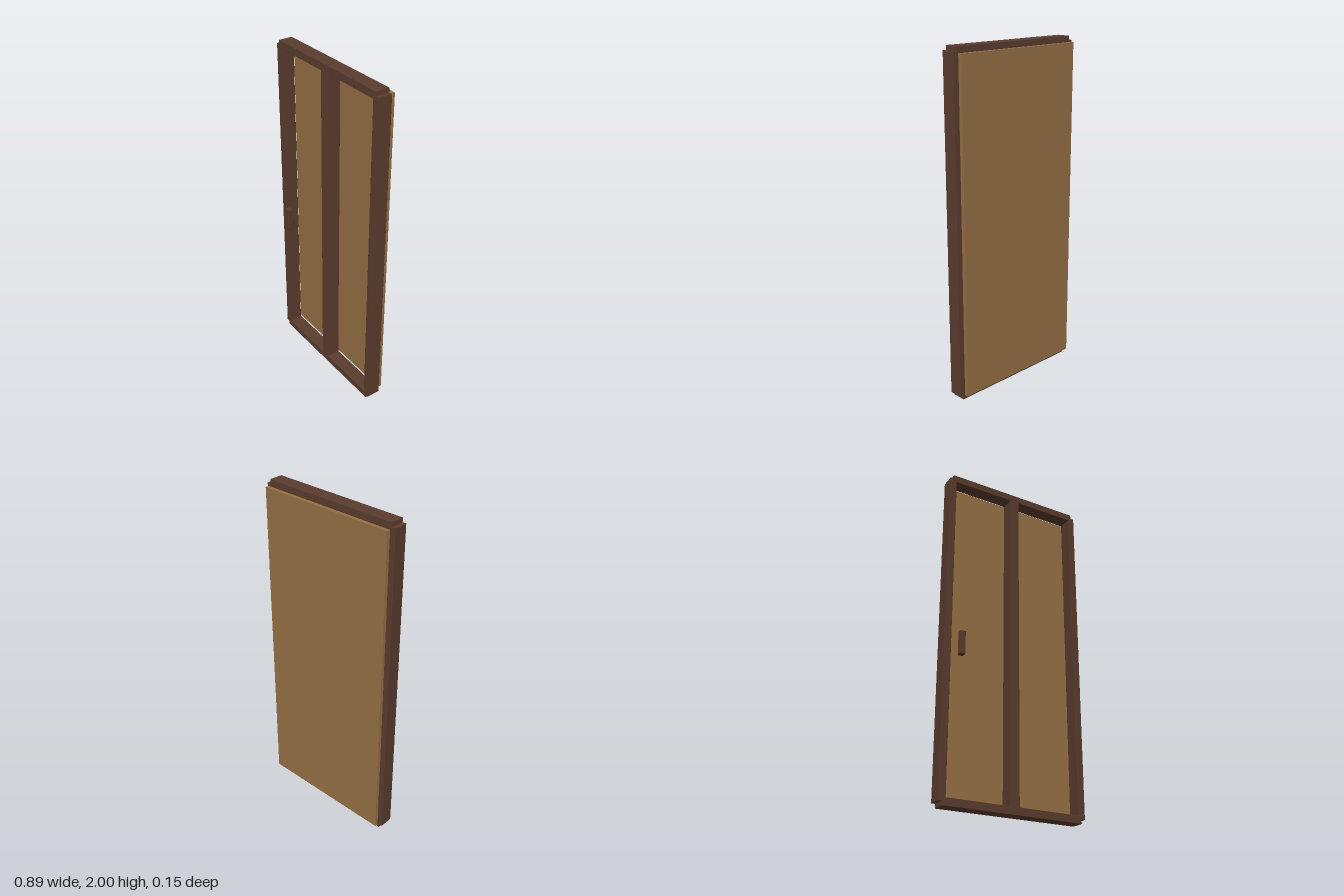
import * as THREE from 'three';
import { RoundedBoxGeometry } from 'three/addons/geometries/RoundedBoxGeometry.js';

export function createModel() {
  const door = new THREE.Group();
  door.name = 'slidingDoor';

  const darkWood = new THREE.MeshStandardMaterial({ color: 0x5a3c2e });
  darkWood.name = 'darkWood';
  const tanPanel = new THREE.MeshStandardMaterial({ color: 0x967044 });
  tanPanel.name = 'tanPanel';

  // Slightly softened bar given by its minimum and maximum corners
  function bar(name, material, [x0, y0, z0], [x1, y1, z1], radius = 0.002) {
    const geometry = new RoundedBoxGeometry(x1 - x0, y1 - y0, z1 - z0, 1, radius);
    const mesh = new THREE.Mesh(geometry, material);
    mesh.position.set((x0 + x1) / 2, (y0 + y1) / 2, (z0 + z1) / 2);
    mesh.name = name;
    door.add(mesh);
  }

  const back = -0.041, front = 0.041;

  // Frame: two side stiles, two rails and the middle post
  bar('rightStile', darkWood, [-0.444, 0.024, back], [-0.402, 1.976, front]);
  bar('leftStile', darkWood, [0.402, 0.024, back], [0.444, 1.976, front]);
  bar('bottomRail', darkWood, [-0.422, 0, back], [0.422, 0.044, front]);
  bar('topRail', darkWood, [-0.422, 1.956, back], [0.422, 2, front]);
  bar('middlePost', darkWood, [-0.029, 0.03, back], [0.029, 1.97, front]);

  // Panel set just behind the frame
  bar('backPanel', tanPanel, [-0.422, 0.034, -0.076], [0.422, 1.966, -0.054], 0.001);

  // Upright pull on the right stile side
  bar('handle', darkWood, [-0.362, 0.826, 0.041], [-0.331, 0.967, 0.076], 0.004);

  return door;
}
